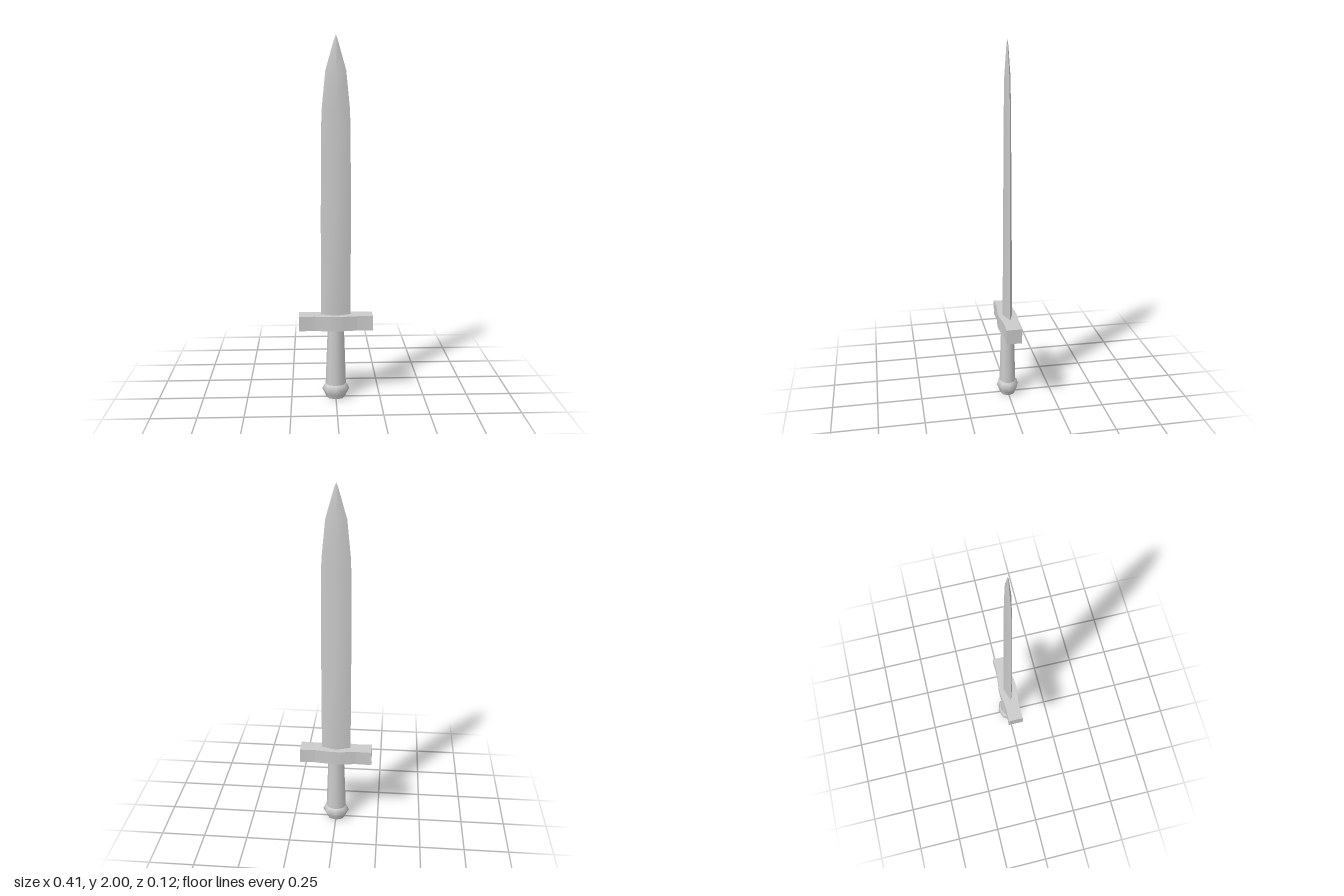
import * as THREE from 'three';

const material = new THREE.MeshStandardMaterial({ color: 0xcccccc });

function addMesh(parent, name, geometry) {
  const mesh = new THREE.Mesh(geometry, material);
  mesh.name = name;
  parent.add(mesh);
  return mesh;
}

// One face of the blade: edge, ridge, edge for each [height, half width, half depth]
function bladeFace(sections) {
  const positions = [], indices = [];
  for (const [y, w, d] of sections) positions.push(-w, y, 0, 0, y, d, w, y, 0);
  for (let i = 0; i < sections.length - 1; i++) {
    for (let j = 0; j < 2; j++) {
      const a = i * 3 + j, b = a + 1, c = a + 3, e = a + 4;
      indices.push(a, b, e, a, e, c);
    }
  }
  const geometry = new THREE.BufferGeometry();
  geometry.setAttribute('position', new THREE.Float32BufferAttribute(positions, 3));
  geometry.setIndex(indices);
  geometry.computeVertexNormals();
  return geometry;
}

export function createModel() {
  const sword = new THREE.Group();
  sword.name = 'sword';

  // Diamond-section blade tapering to a point
  const blade = new THREE.Group();
  blade.name = 'blade';
  sword.add(blade);
  const face = bladeFace([
    [0.45, 0.083, 0.028], [1.0, 0.082, 0.024], [1.4, 0.08, 0.021], [1.61, 0.076, 0.02],
    [1.82, 0.055, 0.016], [1.97, 0.012, 0.005], [1.99, 0.005, 0.002], [2.0, 0.0005, 0.0005],
  ]);
  addMesh(blade, 'bladeFront', face);
  addMesh(blade, 'bladeBack', face).rotation.y = Math.PI;

  // Crossguard: waisted outline, swelling at the middle
  const half = [[0.205, 0.044], [0.165, 0.042], [0.12, 0.041], [0.075, 0.046], [0.03, 0.052]];
  const side = [...half, [0, 0.053], ...half.map(([x, z]) => [-x, z]).reverse()];
  const outline = [...side, ...side.map(([x, z]) => [-x, -z])];
  const shape = new THREE.Shape(outline.map(([x, z]) => new THREE.Vector2(x, z)));
  const guard = new THREE.ExtrudeGeometry(shape, { depth: 0.083, bevelEnabled: false });
  guard.rotateX(-Math.PI / 2);
  addMesh(sword, 'crossguard', guard).position.y = 0.405;

  // Oval grip and pommel, eight-sided
  const hilt = new THREE.Group();
  hilt.name = 'hilt';
  hilt.scale.z = 0.81;
  sword.add(hilt);
  const lathe = (points) =>
    new THREE.LatheGeometry(points.map(([r, y]) => new THREE.Vector2(r, y)), 8);
  addMesh(hilt, 'grip', lathe([[0.058, 0.07], [0.052, 0.24], [0.045, 0.42]]));
  addMesh(hilt, 'pommel', lathe([[0.053, 0], [0.062, 0.022], [0.077, 0.048], [0.067, 0.073], [0.056, 0.082]]));
  addMesh(hilt, 'pommelBase', new THREE.CircleGeometry(0.053, 8).rotateX(Math.PI / 2));

  return sword;
}
